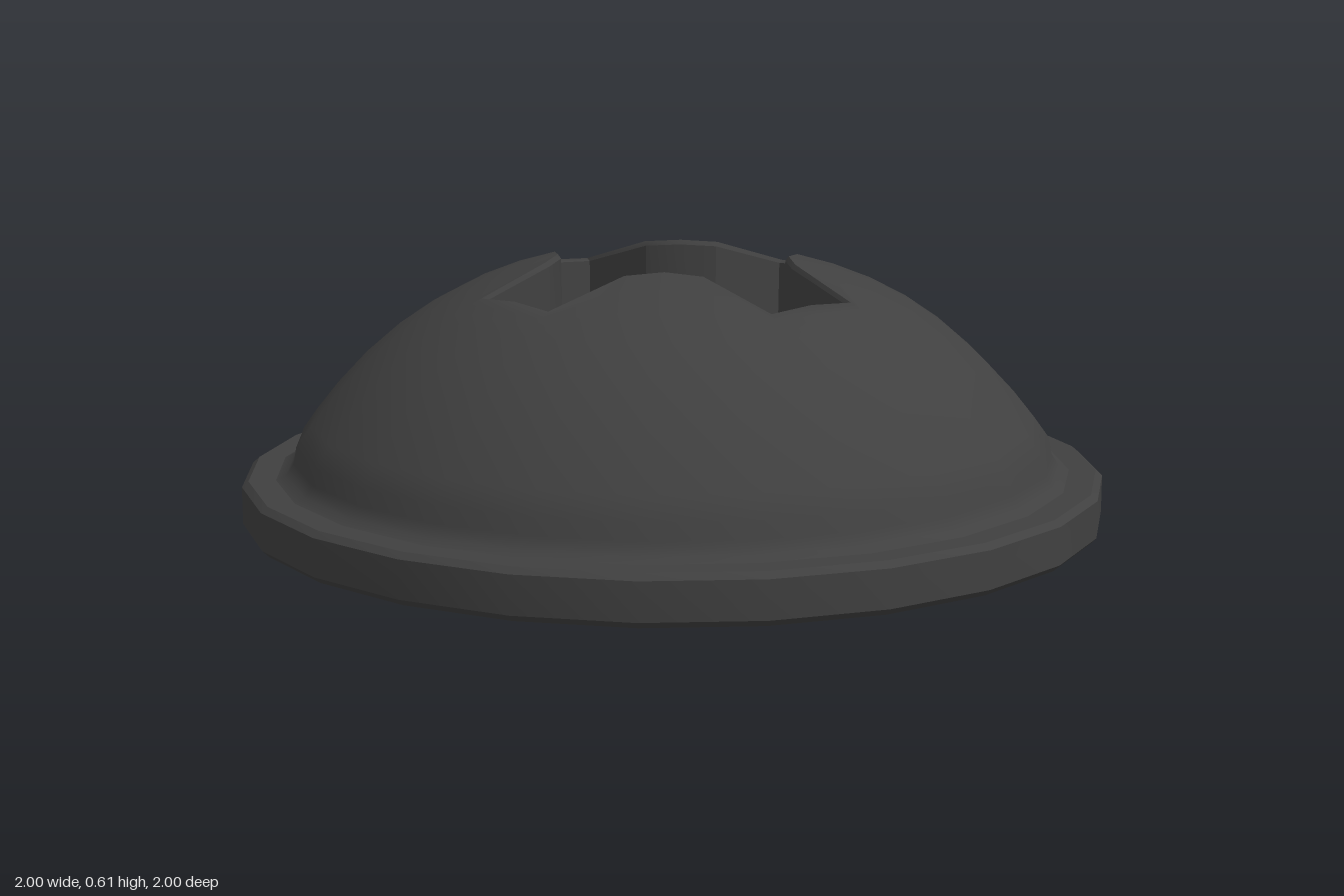
import * as THREE from 'three';
import { toCreasedNormals } from 'three/addons/utils/BufferGeometryUtils.js';

const SIDES = 24;

// Skin a list of rings (each 24 [x, y, z] points) running from the inside out
function loft(rings, crease) {
  const index = [];
  for (let i = 0; i < rings.length - 1; i++) {
    for (let j = 0; j < SIDES; j++) {
      const k = (j + 1) % SIDES;
      const a = i * SIDES + j, b = a + SIDES, c = i * SIDES + k, d = c + SIDES;
      index.push(a, c, b, c, d, b);
    }
  }
  const geo = new THREE.BufferGeometry();
  geo.setAttribute('position', new THREE.Float32BufferAttribute(rings.flat(2), 3));
  geo.setIndex(index);
  return toCreasedNormals(geo, crease);
}

// Height of the dome at a distance from the axis
const domeY = (r) => 0.632 - 0.335 * r ** 2 - 0.32 * r ** 4;

// Cross-shaped outline: one quarter, turned four times (24 points)
const quarter = [[0.26, 0], [0.277, 0.085], [0.40, 0.235], [0.317, 0.317], [0.235, 0.40], [0.085, 0.277]];
const cross = [];
for (let q = 0; q < 4; q++) {
  const c = Math.round(Math.cos(q * Math.PI / 2)), s = Math.round(Math.sin(q * Math.PI / 2));
  for (const [x, z] of quarter) cross.push([x * c - z * s, x * s + z * c]);
}

// Ring helpers
const crossRing = (scale, y) => cross.map(([x, z]) => [x * scale, y(Math.hypot(x, z) * scale), z * scale]);
const circleRing = (r, y) => cross.map((_, j) => {
  const a = j * 2 * Math.PI / SIDES;
  return [r * Math.cos(a), y, r * Math.sin(a)];
});
// Blend from the cross outline to a circle, lying on the dome
const blendRing = (t, radius) => circleRing(radius, 0).map(([cx, , cz], j) => {
  const x = THREE.MathUtils.lerp(cross[j][0] * 1.03, cx, t);
  const z = THREE.MathUtils.lerp(cross[j][1] * 1.03, cz, t);
  return [x, domeY(Math.hypot(x, z)), z];
});

export function createModel() {
  const group = new THREE.Group();
  group.name = 'screwHead';
  const material = new THREE.MeshStandardMaterial({ color: 0x404040 });
  const add = (name, geometry) => {
    const mesh = new THREE.Mesh(geometry, material);
    mesh.name = name;
    group.add(mesh);
  };

  // Flat round flange with small bevels and a closed underside
  const profile = [[0, 0], [0.985, 0], [1, 0.015], [1, 0.1], [0.985, 0.113], [0.86, 0.113]]
    .map(([r, y]) => new THREE.Vector2(r, y));
  add('flange', toCreasedNormals(new THREE.LatheGeometry(profile, SIDES), 0.5));

  // Dome from the recess rim down to the fillet on the flange
  const rim = (r) => domeY(r) - 0.012;
  const rings = [crossRing(1, rim)];
  for (const t of [0, 0.33, 0.67, 1]) rings.push(blendRing(t, 0.56));
  for (const r of [0.64, 0.72, 0.79, 0.84, 0.875]) rings.push(circleRing(r, domeY(r)));
  rings.push(circleRing(0.882, 0.15), circleRing(0.9, 0.123), circleRing(0.925, 0.112));
  add('dome', loft(rings, 0.9));

  // Cross recess: floor fan and upright walls
  const floor = () => 0.29;
  add('driveRecess', loft([circleRing(0, 0.29), crossRing(0.985, floor), crossRing(1, rim)], 0.4));

  return group;
}
